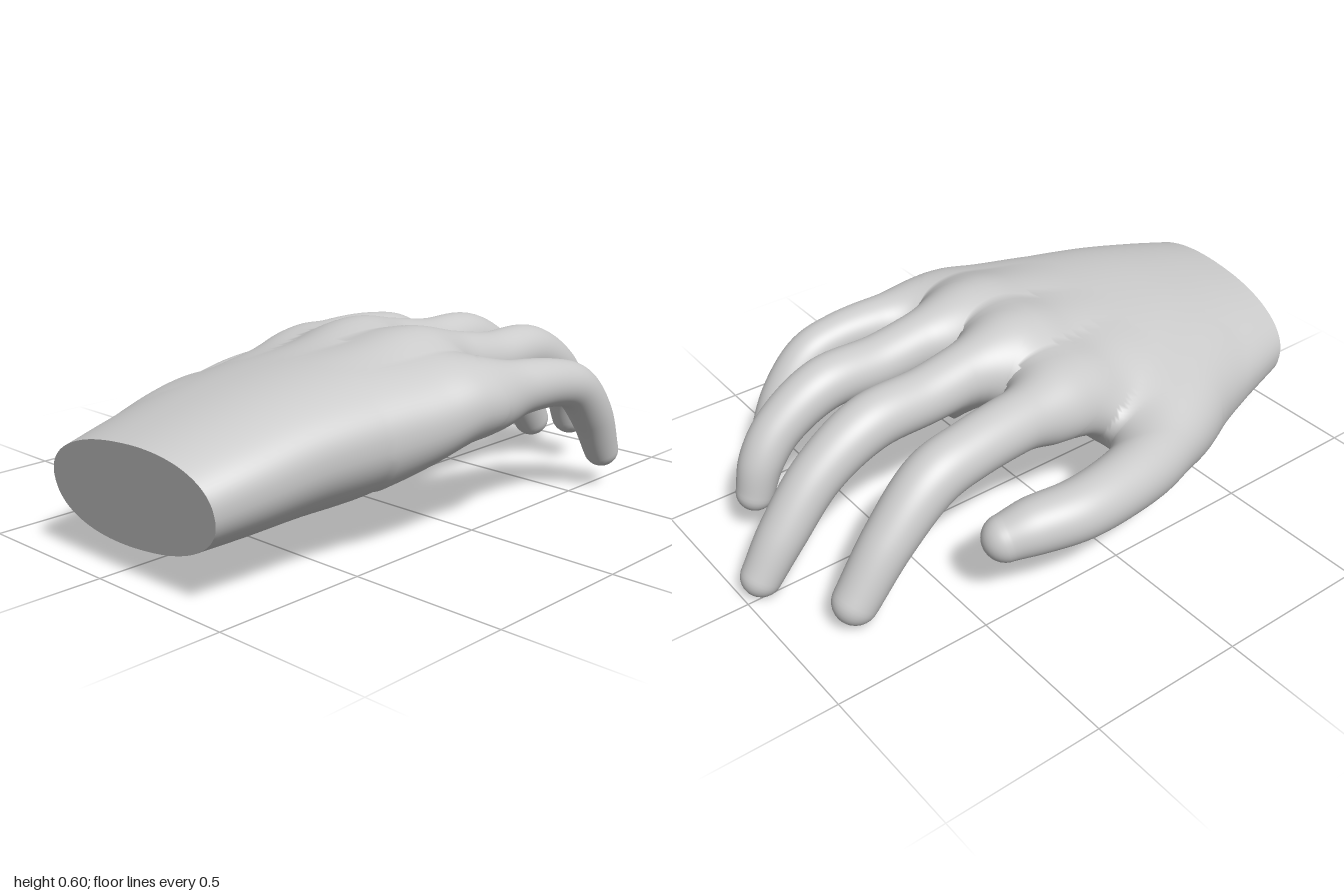
import * as THREE from 'three';

const V = (x, y, z) => new THREE.Vector3(x, y, z);
const SIDES = 96;

// Skin a list of rings (each SIDES points, running from wrist to fingertip)
function skin(rings) {
  const pos = [], idx = [];
  rings.forEach((ring) => ring.forEach((p) => pos.push(p.x, p.y, p.z)));
  for (let i = 0; i < rings.length - 1; i++) {
    for (let j = 0; j < SIDES; j++) {
      const k = (j + 1) % SIDES;
      const a = i * SIDES + j, b = i * SIDES + k;
      idx.push(a, a + SIDES, b, b, a + SIDES, b + SIDES);
    }
  }
  const geo = new THREE.BufferGeometry();
  geo.setAttribute('position', new THREE.Float32BufferAttribute(pos, 3));
  geo.setIndex(idx);
  geo.computeVertexNormals();
  return geo;
}

// Tapered round digit along a curve; each joint is [x, y, z, radius]
function digit(joints) {
  const path = new THREE.CatmullRomCurve3(joints.map(([x, y, z]) => V(x, y, z)));
  const radii = new THREE.CatmullRomCurve3(joints.map((j, i) => V(j[3], i * 0.2, 0)));
  const rings = [];
  const addRing = (c, t, r) => {
    const side = V().crossVectors(t, V(0, 1, 0)).normalize();
    const up = V().crossVectors(side, t);
    rings.push(Array.from({ length: SIDES }, (_, j) => {
      const a = (j / SIDES) * Math.PI * 2;
      return c.clone().addScaledVector(side, r * Math.cos(a)).addScaledVector(up, r * Math.sin(a));
    }));
  };
  const steps = 64;
  for (let i = 0; i <= steps; i++) {
    const u = i / steps;
    addRing(path.getPoint(u), path.getTangent(u), radii.getPoint(u).x);
  }
  // Rounded fingertip
  const end = path.getPoint(1), dir = path.getTangent(1), r = joints[joints.length - 1][3];
  for (let k = 1; k <= 8; k++) {
    const a = (k / 8) * Math.PI / 2;
    addRing(end.clone().addScaledVector(dir, r * Math.sin(a)), dir, Math.max(r * Math.cos(a), 1e-4));
  }
  return skin(rings);
}

// Palm cross-sections: [z, centre x, centre y, half width, half height, sideways slope]
const PALM = [
  [0.965, 0.105, 0.25, 0.355, 0.162, 0.1],
  [0.8, 0.09, 0.265, 0.395, 0.185, 0.12],
  [0.6, 0.07, 0.283, 0.44, 0.21, 0.14],
  [0.35, 0.07, 0.307, 0.485, 0.222, 0.14],
  [0.2, 0.11, 0.355, 0.472, 0.192, 0.11],
  [0.08, 0.15, 0.418, 0.446, 0.148, 0.05],
  [-0.01, 0.155, 0.426, 0.435, 0.122, 0.02],
  [-0.06, 0.155, 0.42, 0.412, 0.088, 0.02],
  [-0.085, 0.155, 0.416, 0.36, 0.045, 0.02],
  [-0.09, 0.155, 0.413, 0.001, 0.001, 0],
];

function palmRings() {
  const soft = (v) => Math.sign(v) * Math.abs(v) ** 0.9;
  const sections = PALM.map(([z, cx, cy, w, h, slope]) =>
    Array.from({ length: SIDES }, (_, j) => {
      const a = (j / SIDES) * Math.PI * 2;
      const across = soft(Math.cos(a)), dx = w * across;
      // the row of knuckles arches across the hand
      const arch = 0.035 * across ** 2 * (1 - THREE.MathUtils.smoothstep(z, 0.05, 0.5));
      const y = cy + slope * dx + h * soft(Math.sin(a)) - arch;
      // the wrist is cut on a slant
      const slant = 0.22 * (y - cy) * THREE.MathUtils.smoothstep(z, 0.3, 0.96);
      return V(cx + dx, y, z + slant);
    }));
  const columns = Array.from({ length: SIDES }, (_, j) =>
    new THREE.CatmullRomCurve3(sections.map((s) => s[j])));
  const steps = 100;
  return Array.from({ length: steps + 1 }, (_, i) => columns.map((c) => c.getPoint(i / steps)));
}

// Flat cut closing the wrist
function wristCap(ring) {
  const centre = ring.reduce((s, p) => s.add(p), V()).divideScalar(SIDES);
  const pos = [];
  ring.forEach((p, j) => [centre, p, ring[(j + 1) % SIDES]].forEach((q) => pos.push(q.x, q.y, q.z)));
  const geo = new THREE.BufferGeometry();
  geo.setAttribute('position', new THREE.Float32BufferAttribute(pos, 3));
  geo.computeVertexNormals();
  return geo;
}

// Copy of a geometry whose skin swells into a soft fillet where it meets the others;
// faces buried inside a neighbour are dropped
function blended(geo, others) {
  const REACH = 0.12, SPREAD = 2 * 0.017 ** 2, BURIED = -0.035;
  const out = geo.clone();
  const P = out.attributes.position, N = out.attributes.normal;
  const p = V(), own = V(), near = V(), buried = [];
  for (let i = 0; i < P.count; i++) {
    p.fromBufferAttribute(P, i);
    own.fromBufferAttribute(N, i);
    let gap = REACH;
    for (const other of others) {
      // smoothed signed distance and normal of the neighbouring skin
      const q = other.attributes.position.array, n = other.attributes.normal.array;
      let sum = 0, d = 0, nx = 0, ny = 0, nz = 0;
      for (let k = 0; k < q.length; k += 3) {
        const dx = p.x - q[k], dy = p.y - q[k + 1], dz = p.z - q[k + 2];
        const dist2 = dx * dx + dy * dy + dz * dz;
        if (dist2 > 0.022) continue;
        const w = Math.exp(-dist2 / SPREAD);
        sum += w;
        d += w * (dx * n[k] + dy * n[k + 1] + dz * n[k + 2]);
        nx += w * n[k]; ny += w * n[k + 1]; nz += w * n[k + 2];
      }
      if (sum > 0 && d / sum < gap) {
        gap = d / sum;
        near.set(nx, ny, nz).normalize();
      }
    }
    buried[i] = gap < BURIED;
    if (Math.abs(gap) >= REACH) continue;
    const g = own.lerp(near, 0.5 * (1 - gap / REACH));
    const lift = (REACH / 4) * (1 - Math.abs(gap) / REACH) ** 2;
    p.addScaledVector(g, lift / Math.max(g.lengthSq(), 0.45));
    P.setXYZ(i, p.x, p.y, p.z);
    g.normalize();
    N.setXYZ(i, g.x, g.y, g.z);
  }
  const idx = geo.index.array, kept = [];
  for (let t = 0; t < idx.length; t += 3) {
    const face = [idx[t], idx[t + 1], idx[t + 2]];
    if (!face.every((v) => buried[v])) kept.push(...face);
  }
  out.setIndex(kept);
  return out;
}

// Joints run from just inside the palm, over the knuckle, to the tip
const DIGITS = {
  thumb: [
    [-0.17, 0.27, 0.58, 0.09], [-0.335, 0.25, 0.39, 0.115], [-0.445, 0.26, 0.18, 0.11],
    [-0.503, 0.275, 0, 0.1], [-0.522, 0.28, -0.18, 0.093], [-0.49, 0.27, -0.32, 0.086],
    [-0.465, 0.252, -0.4, 0.072],
  ],
  indexFinger: [
    [-0.13, 0.36, 0.24, 0.08], [-0.185, 0.403, 0.07, 0.097], [-0.213, 0.42, -0.08, 0.096],
    [-0.243, 0.415, -0.35, 0.09], [-0.25, 0.38, -0.5, 0.09], [-0.264, 0.25, -0.66, 0.08],
    [-0.268, 0.086, -0.79, 0.07],
  ],
  middleFinger: [
    [0.06, 0.39, 0.24, 0.08], [0.047, 0.453, 0.06, 0.098], [0.043, 0.468, -0.05, 0.1],
    [0.036, 0.44, -0.32, 0.089], [0.033, 0.427, -0.53, 0.088], [0.03, 0.33, -0.71, 0.08],
    [0.022, 0.18, -0.85, 0.074], [0.02, 0.06, -0.936, 0.063],
  ],
  ringFinger: [
    [0.25, 0.4, 0.24, 0.08], [0.272, 0.455, 0.06, 0.098], [0.278, 0.467, -0.04, 0.1],
    [0.288, 0.435, -0.32, 0.087], [0.292, 0.428, -0.53, 0.084], [0.292, 0.34, -0.69, 0.076],
    [0.285, 0.25, -0.765, 0.07], [0.283, 0.148, -0.8, 0.06],
  ],
  littleFinger: [
    [0.43, 0.36, 0.24, 0.08], [0.48, 0.395, 0.06, 0.093], [0.51, 0.41, -0.09, 0.09],
    [0.543, 0.405, -0.31, 0.075], [0.55, 0.37, -0.43, 0.072], [0.545, 0.26, -0.54, 0.068],
    [0.537, 0.122, -0.62, 0.056],
  ],
};

export function createModel() {
  const group = new THREE.Group();
  group.name = 'hand';
  const material = new THREE.MeshStandardMaterial({ color: 0xcccccc });
  const add = (name, geometry) => {
    const mesh = new THREE.Mesh(geometry, material);
    mesh.name = name;
    group.add(mesh);
  };

  const rings = palmRings();
  const palm = skin(rings);
  const digits = Object.entries(DIGITS).map(([name, joints]) => [name, digit(joints)]);
  add('palm', blended(palm, digits.map(([, geo]) => geo)));
  add('wristCut', wristCap(rings[0]));
  digits.forEach(([name, geo]) => add(name, blended(geo, [palm])));
  return group;
}
